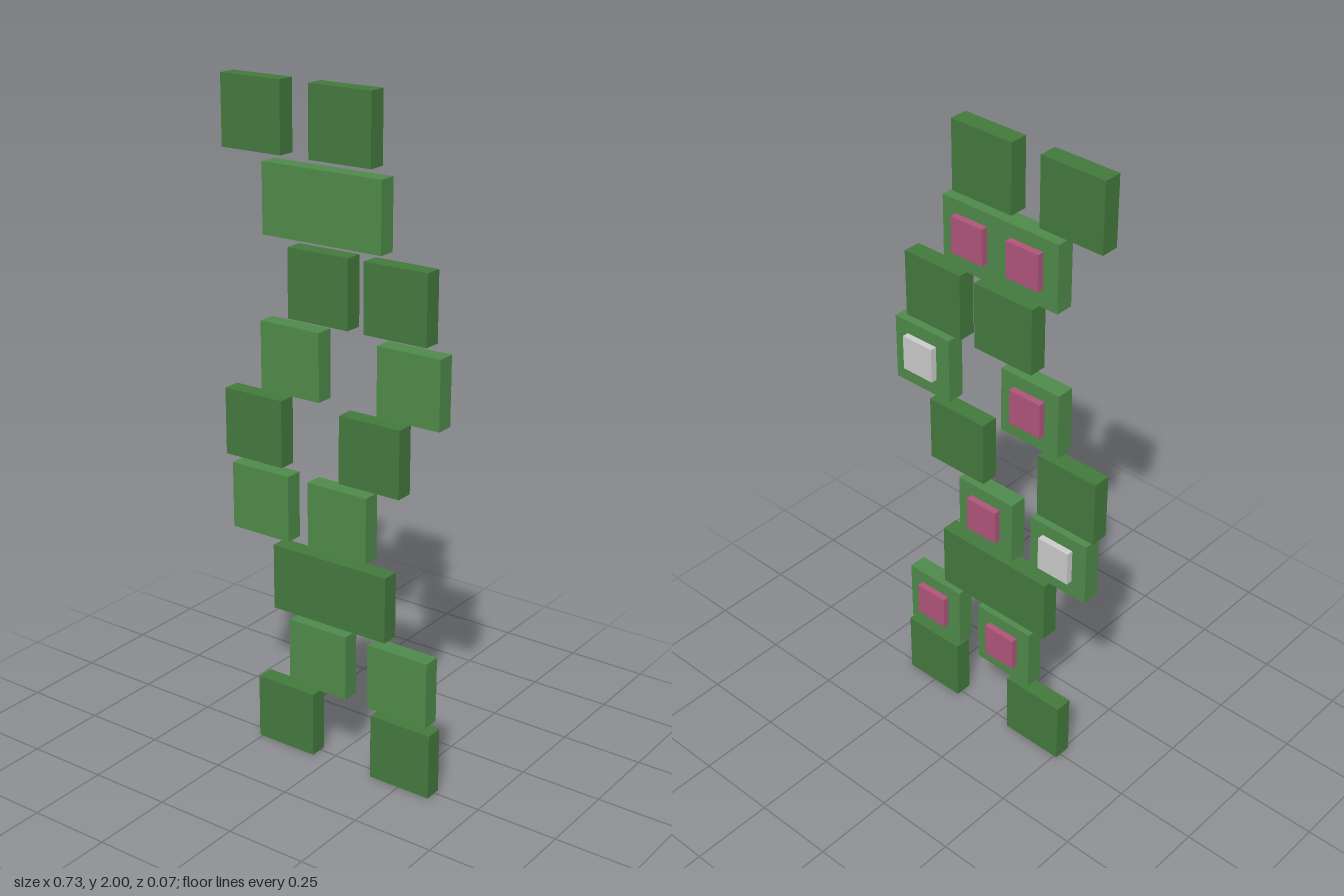
import * as THREE from 'three';

const SIZE = 0.202;    // square plate side
const WIDE = 0.394;    // joined plate width
const PITCH = 0.2247;  // row spacing
const FRONT = 0.036, BACK = -0.018, PAD_BACK = -0.038;

const material = color => new THREE.MeshStandardMaterial({ color, flatShading: true });

export function createModel() {
  const group = new THREE.Group();
  const darkGreen = material(0x437a3d), lightGreen = material(0x4f8a4a);
  const pink = material(0xb0557a), grey = material(0xcccccc);

  const addBox = (name, w, h, z0, z1, x, y, mat) => {
    const mesh = new THREE.Mesh(new THREE.BoxGeometry(w, h, z1 - z0), mat);
    mesh.name = name;
    mesh.position.set(x, y, (z0 + z1) / 2);
    group.add(mesh);
  };

  // Rows from bottom to top: plate centres, and pads on the back as [x, material]
  const rows = [
    { plates: [-0.159, 0.251] },
    { plates: [-0.041, 0.238], pads: [[-0.041, pink], [0.238, pink]] },
    { plates: [-0.001], wide: true },
    { plates: [-0.244, 0.028], pads: [[-0.242, grey], [0.028, pink]] },
    { plates: [-0.266, 0.137] },
    { plates: [-0.133, 0.263], pads: [[-0.132, pink], [0.264, grey]] },
    { plates: [-0.036, 0.218] },
    { plates: [-0.025], wide: true, pads: [[-0.118, pink], [0.072, pink]] },
    { plates: [-0.259, 0.037] },
  ];

  rows.forEach(({ plates, wide, pads = [] }, i) => {
    const y = SIZE / 2 + i * PITCH;
    // Plates alternate between two greens from row to row
    for (const x of plates) {
      addBox(wide ? 'widePlate' : 'squarePlate', wide ? WIDE : SIZE, SIZE,
        BACK, FRONT, x, y, i % 2 ? lightGreen : darkGreen);
    }
    // Small pads on the back
    for (const [x, mat] of pads) {
      addBox('backPad', 0.108, 0.108, PAD_BACK, BACK, x, y + 0.007, mat);
    }
  });
  return group;
}
